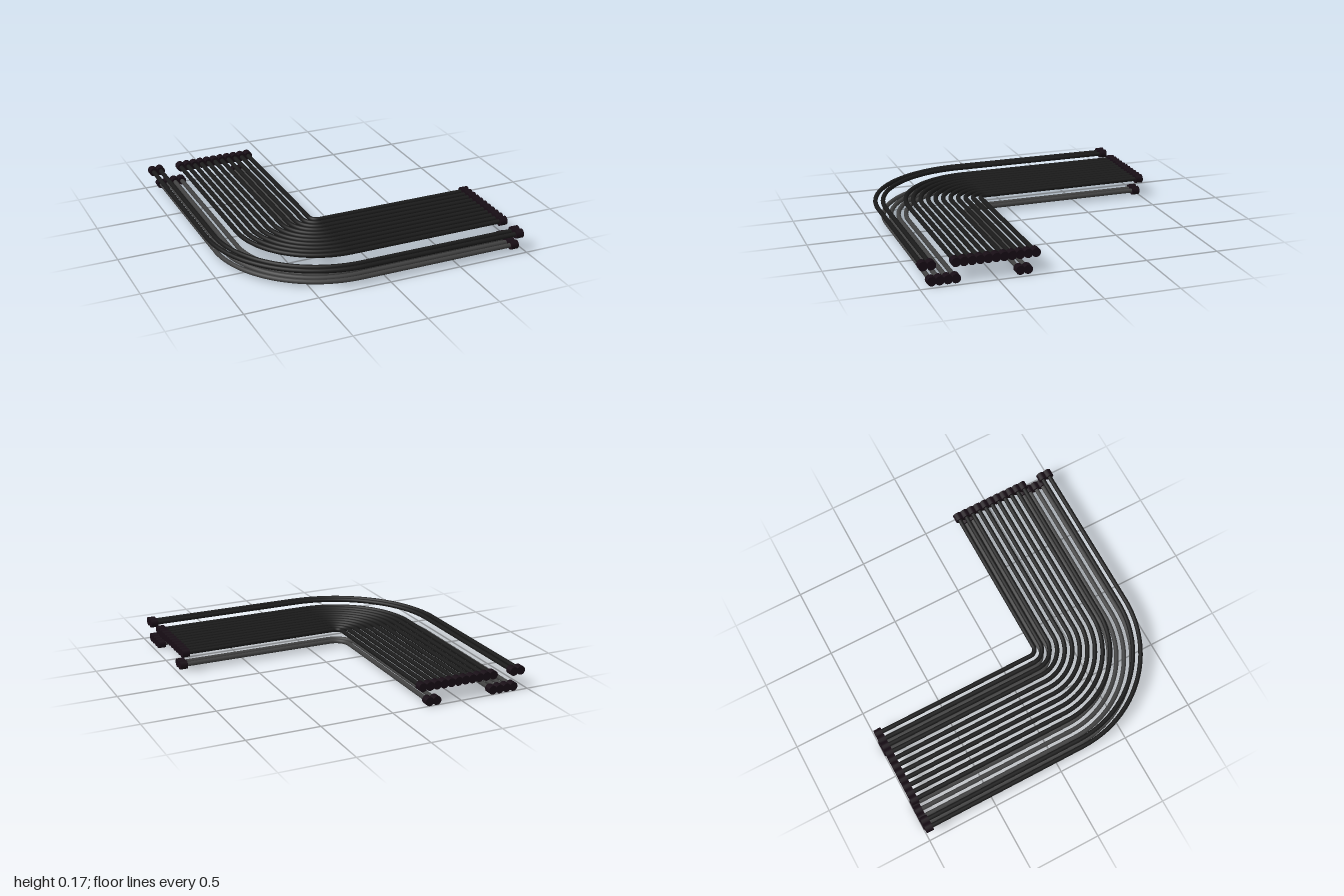
import * as THREE from 'three';
import { mergeGeometries } from 'three/addons/utils/BufferGeometryUtils.js';

const STEP = 0.0521;               // spacing between neighbouring lanes
const CX = -0.165, CZ = 0.19;      // shared centre of all bends
const OUTER = 0.78;                // bend radius of the outermost lane
const END_X = 0.945, END_Z = -0.975; // middle of the end couplings
const PIPE_R = 0.0155, COUPLING_R = 0.0305, COUPLING_L = 0.052;

const material = (color) => new THREE.MeshStandardMaterial({ color });

// Rod of given length along x or z, centred on (x, 0, z)
function rod(axis, radius, length, x, z, open) {
  const g = new THREE.CylinderGeometry(radius, radius, length, 14, 1, open);
  if (axis === 'x') g.rotateZ(-Math.PI / 2);
  else g.rotateX(Math.PI / 2);
  return g.translate(x, 0, z);
}

// Two straight runs joined by a quarter bend
function pipeGeometry(r) {
  const bend = new THREE.TorusGeometry(r, PIPE_R, 14, 32, Math.PI / 2);
  bend.rotateX(Math.PI / 2).rotateY(-Math.PI / 2).translate(CX, 0, CZ);
  return mergeGeometries([
    rod('z', PIPE_R, CZ - END_Z, CX - r, (CZ + END_Z) / 2, true),
    bend,
    rod('x', PIPE_R, END_X - CX, (END_X + CX) / 2, CZ + r, true),
  ]);
}

export function createModel() {
  const model = new THREE.Group();
  const couplingMat = material(0x170d15);
  const layers = [
    { name: 'upper', y: 0.138, lanes: [0, 1, 4, 5, 6, 7, 8, 9, 10, 11, 12, 13, 14], mat: material(0x1a1a1a) },
    { name: 'lower', y: 0.0325, lanes: [1, 2, 3, 4, 12, 13], mat: material(0x404040) },
  ];

  for (const { name, y, lanes, mat } of layers) {
    const layer = new THREE.Group();
    layer.name = name + 'PipeLayer';
    layer.position.y = y;
    for (const lane of lanes) {
      const r = OUTER - lane * STEP;
      const add = (geometry, m, part) => {
        const mesh = new THREE.Mesh(geometry, m);
        mesh.name = part;
        layer.add(mesh);
      };
      add(pipeGeometry(r), mat, 'pipe');
      // Thicker couplings cap both ends
      add(rod('z', COUPLING_R, COUPLING_L, CX - r, END_Z, false), couplingMat, 'backCoupling');
      add(rod('x', COUPLING_R, COUPLING_L, END_X, CZ + r, false), couplingMat, 'sideCoupling');
    }
    model.add(layer);
  }
  return model;
}
